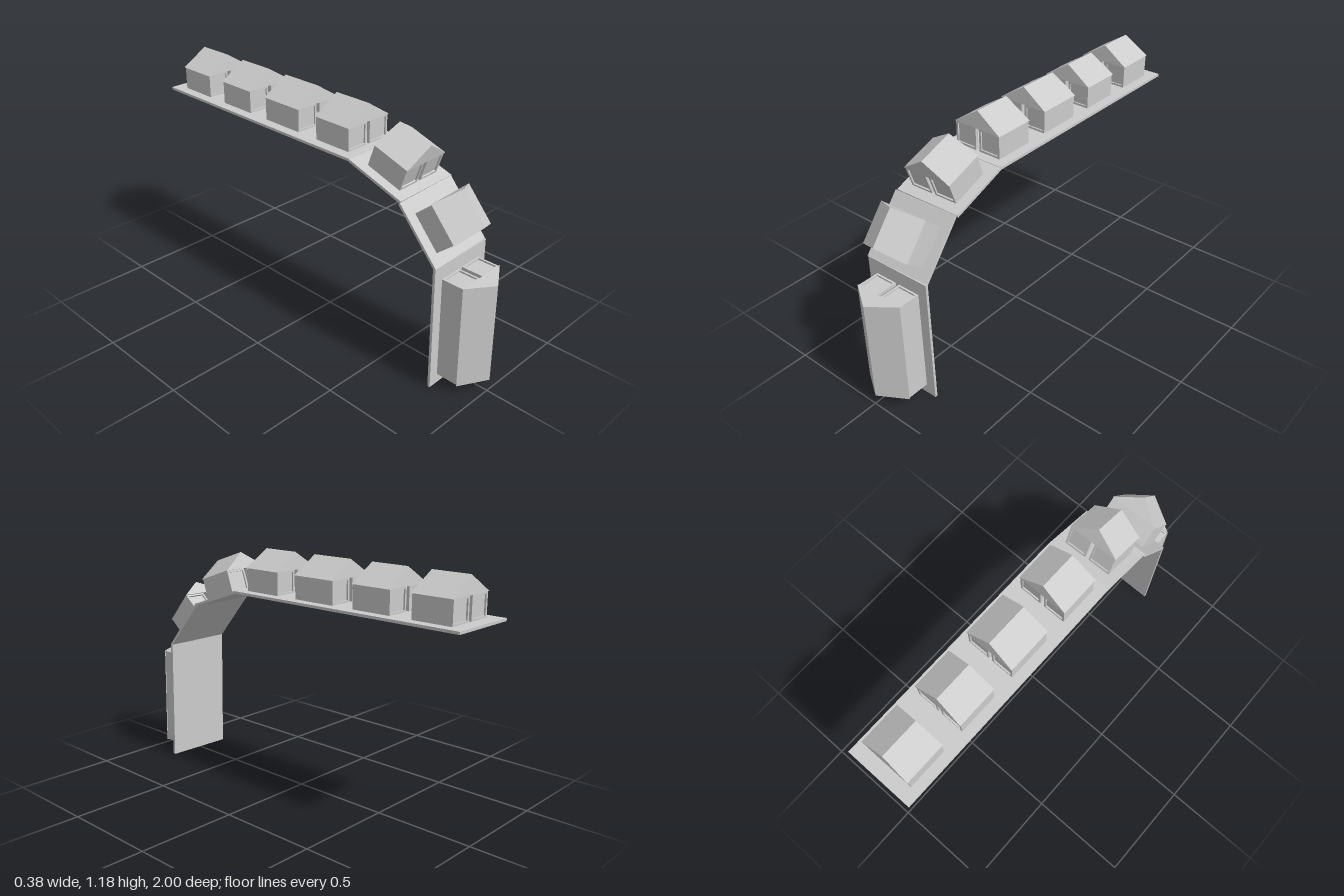
import * as THREE from 'three';

const material = new THREE.MeshStandardMaterial({ color: 0xcccccc, flatShading: true, side: THREE.DoubleSide });
const WIDTH = 0.255, EAVE = 0.113, RIDGE = 0.198, WALL = 0.008, PLATE = 0.013;

function add(parent, geometry, name, x = 0, y = 0, z = 0) {
  const mesh = new THREE.Mesh(geometry, material);
  mesh.name = name;
  mesh.position.set(x, y, z);
  parent.add(mesh);
  return mesh;
}

function rect(Type, x0, y0, x1, y1) {
  return new Type([[x0, y0], [x1, y0], [x1, y1], [x0, y1]].map(p => new THREE.Vector2(...p)));
}

// Gabled roof prism, its ridge a little shorter than its eaves
function roofGeometry(length) {
  const half = WIDTH / 2 + 0.004;
  const gable = new THREE.Shape([[-half, 0], [half, 0], [0, RIDGE - EAVE]].map(p => new THREE.Vector2(...p)));
  const g = new THREE.ExtrudeGeometry(gable, { depth: length, bevelEnabled: false });
  g.translate(0, 0, -length / 2);
  const p = g.attributes.position;
  for (let i = 0; i < p.count; i++) {
    if (p.getY(i) > 0.01) p.setZ(i, p.getZ(i) * (1 - 0.016 / length));
  }
  g.computeVertexNormals();
  return g;
}

// House with two framed panels and a narrow central slot at each end
function house(length) {
  const group = new THREE.Group();
  group.name = 'house';
  const bodyLength = length - 0.008;
  const half = WIDTH / 2, slot = 0.01, frame = 0.01;

  const leaf = rect(THREE.Shape, slot, 0, half, EAVE);
  leaf.holes.push(rect(THREE.Path, slot + frame, frame, half - frame, EAVE - frame));
  const frameGeometry = new THREE.ExtrudeGeometry(leaf, { depth: WALL, bevelEnabled: false });
  const panelGeometry = new THREE.BoxGeometry(half - slot, EAVE, WALL);

  for (const side of [-1, 1]) {
    add(group, new THREE.BoxGeometry(WALL, EAVE, bodyLength), 'sideWall', side * (half - WALL / 2), EAVE / 2, 0);
    for (const end of [-1, 1]) {
      // One end leaf: raised frame and the recessed panel behind it
      const endLeaf = new THREE.Group();
      endLeaf.name = 'endLeaf';
      add(endLeaf, frameGeometry, 'panelFrame', 0, 0, bodyLength / 2 - WALL);
      add(endLeaf, panelGeometry, 'endPanel', (half + slot) / 2, EAVE / 2, bodyLength / 2 - WALL * 1.5);
      endLeaf.scale.set(side, 1, end);
      group.add(endLeaf);
    }
  }
  add(group, roofGeometry(length), 'roof', 0, EAVE, 0);
  return group;
}

// Base plate running along local +z from its start, with houses standing on it
function segment(name, { start, length, tilt = 0, turn = 0, houses }) {
  const group = new THREE.Group();
  group.name = name;
  group.position.set(...start);
  group.rotation.set(tilt, turn, 0);
  add(group, new THREE.BoxGeometry(0.355, PLATE, length), 'basePlate', 0, -PLATE / 2, length / 2);
  for (const [centre, size] of houses) {
    const h = house(size);
    h.position.z = centre;
    group.add(h);
  }
  return group;
}

export function createModel() {
  const model = new THREE.Group();
  model.name = 'houseChain';

  // Level stretch
  model.add(segment('levelSegment', {
    start: [-0.0125, 0.984, -1], length: 1.305,
    houses: [[0.168, 0.21], [0.485, 0.212], [0.818, 0.236], [1.152, 0.212]],
  }));

  // Two bending stretches
  model.add(segment('upperBend', {
    start: [-0.0125, 0.984, 0.3], length: 0.315, tilt: Math.atan2(0.104, 0.3), turn: 0.025,
    houses: [[0.168, 0.2]],
  }));
  model.add(segment('lowerBend', {
    start: [-0.0125, 0.88, 0.6], length: 0.316, tilt: Math.atan2(0.243, 0.203), turn: 0.028,
    houses: [[0.165, 0.198]],
  }));

  // Hanging stretch with one long house
  model.add(segment('hangingSegment', {
    start: [-0.003, 0.634, 0.804], length: 0.63, tilt: Math.PI / 2, turn: 0.022,
    houses: [[0.326, 0.52]],
  }));
  return model;
}
